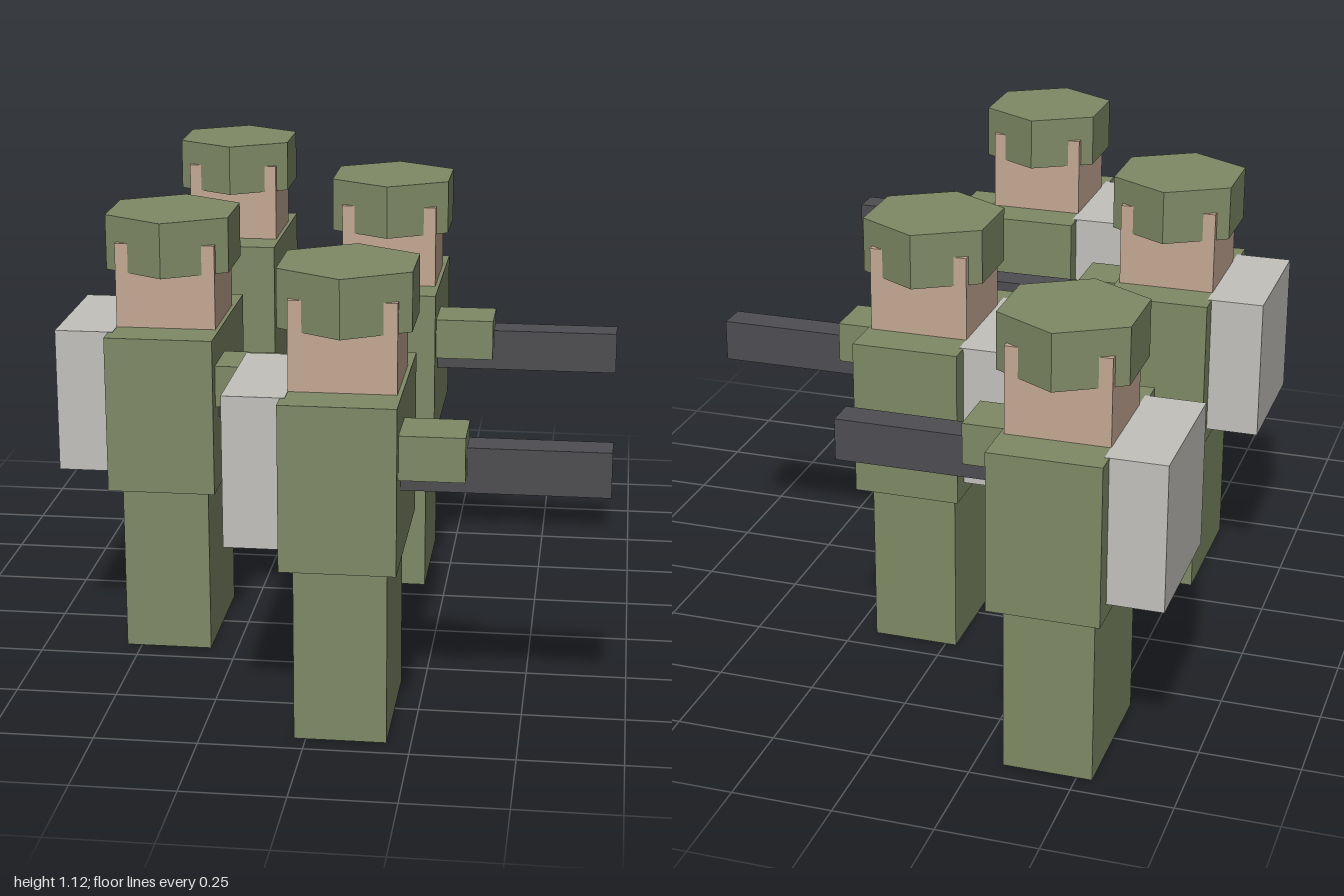
import * as THREE from 'three';

const material = (name, color) => {
  const m = new THREE.MeshStandardMaterial({ color });
  m.name = name;
  return m;
};

export function createModel() {
  const green = material('uniformGreen', 0x7f8a66);
  const skin = material('skin', 0xc4a892);
  const grey = material('packGrey', 0xc2c1bc);
  const dark = material('gunMetal', 0x4e4e52);

  // Box given by its [min, max] range on each axis
  const box = (name, mat, [x0, x1], [y0, y1], [z0, z1]) => {
    const mesh = new THREE.Mesh(new THREE.BoxGeometry(x1 - x0, y1 - y0, z1 - z0), mat);
    mesh.position.set((x0 + x1) / 2, (y0 + y1) / 2, (z0 + z1) / 2);
    mesh.name = name;
    return mesh;
  };

  // One soldier, facing +x
  const soldier = () => {
    const g = new THREE.Group();
    g.add(
      box('legs', green, [-0.11, 0.11], [0, 0.44], [-0.18, 0.18]),
      box('torso', green, [-0.136, 0.136], [0.44, 0.84], [-0.235, 0.235]),
      box('head', skin, [-0.126, 0.126], [0.84, 1.055], [-0.126, 0.126]),
      box('backpack', grey, [-0.272, -0.125], [0.475, 0.841], [-0.182, 0.182]),
      box('arm', green, [0.13, 0.288], [0.66, 0.766], [0.057, 0.198]),
      box('rifle', dark, [0.13, 0.617], [0.62, 0.728], [0.069, 0.149])
    );
    // Six-sided helmet with the head's corners showing through
    const hat = new THREE.CylinderGeometry(0.18, 0.18, 0.14, 6).toNonIndexed();
    hat.computeVertexNormals();
    const helmet = new THREE.Mesh(hat, green);
    helmet.position.y = 1.05;
    helmet.name = 'helmet';
    g.add(helmet);
    return g;
  };

  // Four soldiers in a staggered file
  const model = new THREE.Group();
  model.name = 'soldierSquad';
  for (let i = 0; i < 4; i++) {
    const s = soldier();
    s.name = `soldier${i + 1}`;
    s.position.set(i % 2 ? 0.082 : -0.428, 0, -0.765 + 0.51 * i);
    model.add(s);
  }
  return model;
}
